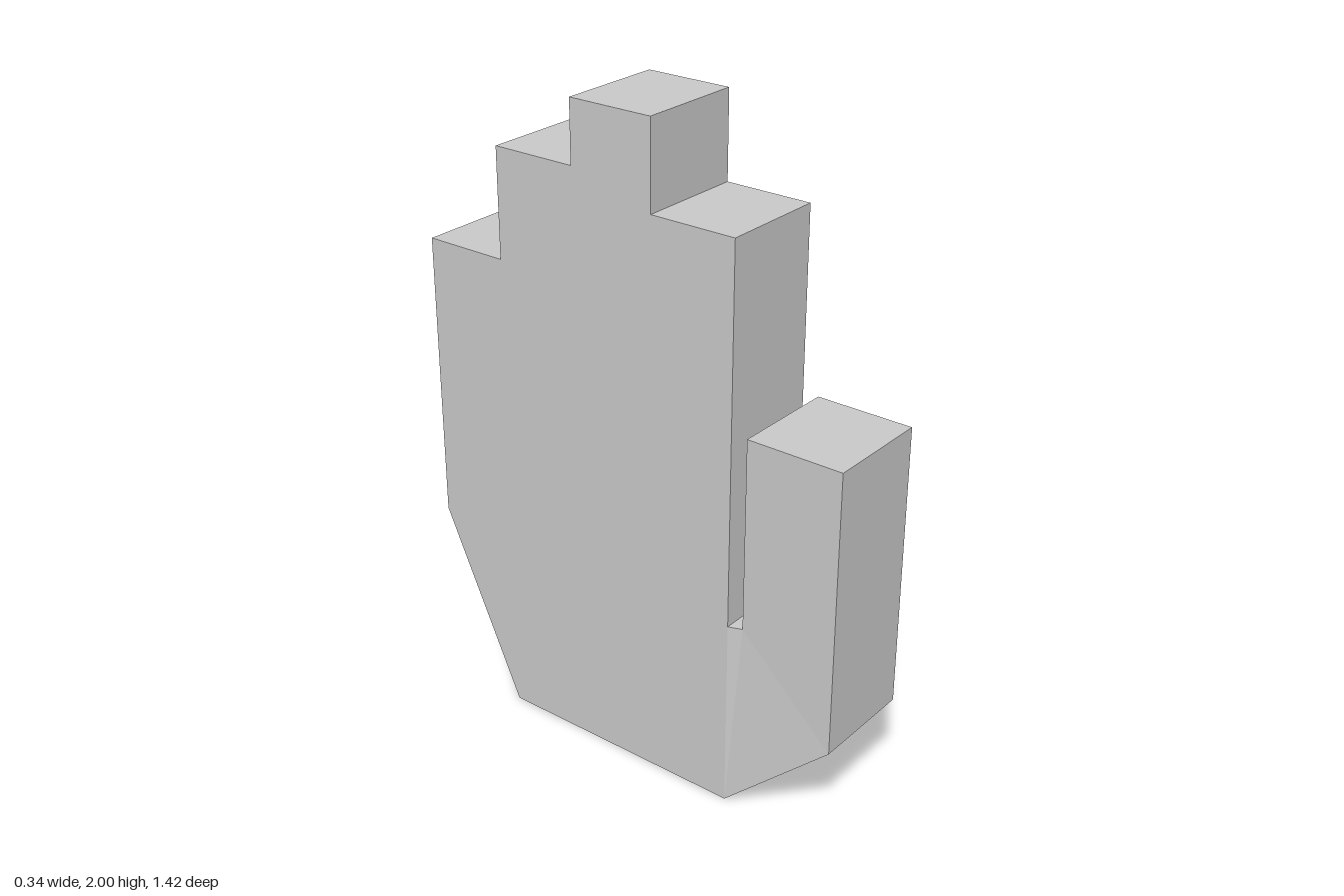
import * as THREE from 'three';

const LEFT = -0.175, RIGHT = 0.155, THUMB_SHIFT = 0.015;

// Outline corners as [z, y], counter-clockwise with z to the right
const wristFront = [0.37, 0], thumbBase = [0.71, 0.31];
const slotThumb = [0.41, 0.595], slotPalm = [0.37, 0.595];
const thumbTop = [[0.71, 1.185], [0.41, 1.185]];
const fingers = [
  [0.37, 1.74], [0.10, 1.74], [0.10, 2.0], [-0.17, 2.0], [-0.17, 1.815],
  [-0.44, 1.815], [-0.44, 1.485], [-0.71, 1.485], [-0.71, 0.595], [-0.44, 0],
];

// The thumb sits slightly offset sideways from the palm
function corner([z, y], side) {
  return [side + (z > 0.4 ? THUMB_SHIFT : 0), y, z];
}

function flatGeometry(points) {
  const geometry = new THREE.BufferGeometry();
  geometry.setAttribute('position', new THREE.Float32BufferAttribute(points.flat(), 3));
  geometry.computeVertexNormals();
  return geometry;
}

// Both side faces of one panel, plus walls along its first wallCount edges
function panel(name, outline, walls, material) {
  const points = [];
  const flat = outline.map(([z, y]) => new THREE.Vector2(z, y));
  for (const tri of THREE.ShapeUtils.triangulateShape(flat, [])) {
    const ccw = THREE.ShapeUtils.area(tri.map((i) => flat[i])) > 0;
    const [a, b, c] = (ccw ? tri : [...tri].reverse()).map((i) => outline[i]);
    points.push(corner(a, LEFT), corner(b, LEFT), corner(c, LEFT));
    points.push(corner(c, RIGHT), corner(b, RIGHT), corner(a, RIGHT));
  }
  for (const i of walls) {
    const p = outline[i], q = outline[(i + 1) % outline.length];
    points.push(corner(p, LEFT), corner(p, RIGHT), corner(q, RIGHT));
    points.push(corner(p, LEFT), corner(q, RIGHT), corner(q, LEFT));
  }
  const mesh = new THREE.Mesh(flatGeometry(points), material);
  mesh.name = name;
  return mesh;
}

export function createModel() {
  const group = new THREE.Group();
  group.name = 'hand';
  const material = new THREE.MeshStandardMaterial({ color: 0xcccccc, flatShading: true });

  // Palm with stepped fingers; the edge shared with the thumb web stays open
  const palm = [wristFront, slotPalm, ...fingers];
  group.add(panel('palmAndFingers', palm, palm.map((_, i) => i).slice(1), material));

  // Web joining the palm and thumb: sloped underside and slot floor
  group.add(panel('thumbWeb', [wristFront, thumbBase, slotThumb, slotPalm], [0, 2], material));

  // Upright thumb, open where it meets the web
  group.add(panel('thumb', [thumbBase, ...thumbTop, slotThumb], [0, 1, 2], material));

  // Square patch lying on the palm
  const patch = new THREE.Mesh(new THREE.PlaneGeometry(0.51, 0.505), material);
  patch.name = 'palmPatch';
  patch.rotation.y = Math.PI / 2;
  patch.position.set(RIGHT + 0.002, 0.557, -0.075);
  group.add(patch);

  return group;
}
